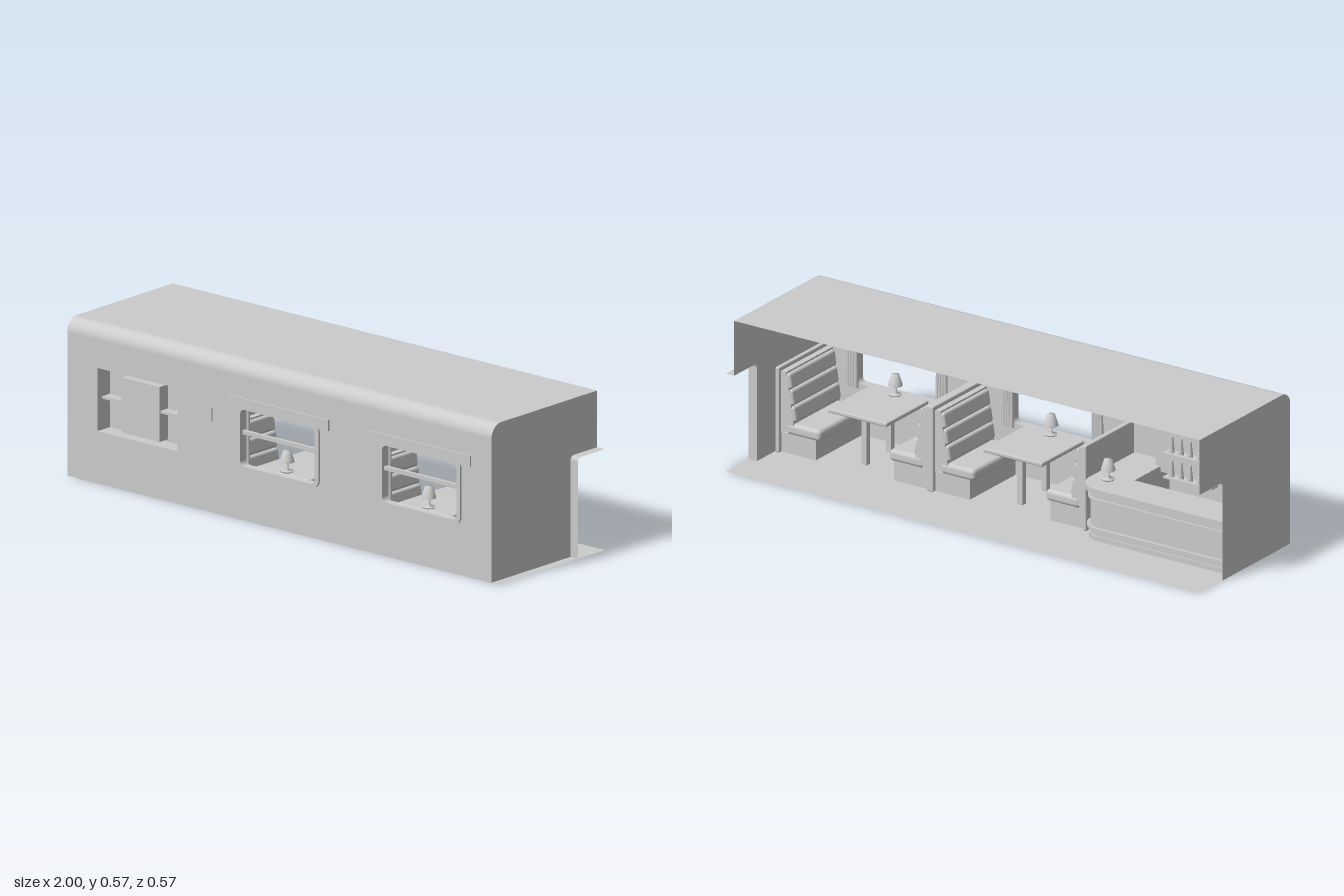
import * as THREE from 'three';
import { RoundedBoxGeometry } from 'three/addons/geometries/RoundedBoxGeometry.js';

const mat = new THREE.MeshStandardMaterial({ color: 0xcccccc, side: THREE.DoubleSide });

function add(parent, name, geo, x = 0, y = 0, z = 0) {
  const m = new THREE.Mesh(geo, mat);
  m.name = name;
  m.position.set(x, y, z);
  parent.add(m);
  return m;
}
// Box given by its min and max on each axis
function box(parent, name, x0, x1, y0, y1, z0, z1, r = 0) {
  const s = [x1 - x0, y1 - y0, z1 - z0];
  const g = r ? new RoundedBoxGeometry(...s, 3, r) : new THREE.BoxGeometry(...s);
  return add(parent, name, g, (x0 + x1) / 2, (y0 + y1) / 2, (z0 + z1) / 2);
}
function roundRect(C, x0, x1, y0, y1, r) {
  const p = new C();
  p.moveTo(x0 + r, y0);
  p.lineTo(x1 - r, y0); p.absarc(x1 - r, y0 + r, r, -Math.PI / 2, 0);
  p.lineTo(x1, y1 - r); p.absarc(x1 - r, y1 - r, r, 0, Math.PI / 2);
  p.lineTo(x0 + r, y1); p.absarc(x0 + r, y1 - r, r, Math.PI / 2, Math.PI);
  p.lineTo(x0, y0 + r); p.absarc(x0 + r, y0 + r, r, Math.PI, Math.PI * 1.5);
  return p;
}
const extrude = (shape, depth) =>
  new THREE.ExtrudeGeometry(shape, { depth, bevelEnabled: false, curveSegments: 8 });
// Open sheet: a path of [z, y, nz, ny] points swept along x, with smooth normals
function sheet(path, x0, x1) {
  const pos = [], nor = [], idx = [];
  path.forEach(([z, y, nz, ny], i) => {
    pos.push(x0, y, z, x1, y, z);
    nor.push(0, ny, nz, 0, ny, nz);
    if (i) { const a = 2 * i - 2; idx.push(a, a + 1, a + 3, a, a + 3, a + 2); }
  });
  const g = new THREE.BufferGeometry();
  g.setAttribute('position', new THREE.Float32BufferAttribute(pos, 3));
  g.setAttribute('normal', new THREE.Float32BufferAttribute(nor, 3));
  g.setIndex(idx);
  return g;
}

const X0 = -1, X1 = 0.965, TOP = 0.574, FRONT = 0.275, BACK = -0.283, R = 0.05;
const WINDOWS = [-0.02, 0.637];

function buildShell(car) {
  // Front wall with a service opening and two windows
  const wall = new THREE.Shape([[X0, 0], [X1, 0], [X1, TOP - R], [X0, TOP - R]].map(p => new THREE.Vector2(...p)));
  wall.holes.push(roundRect(THREE.Path, -0.86, -0.49, 0.19, 0.42, 0.004));
  for (const c of WINDOWS) wall.holes.push(roundRect(THREE.Path, c - 0.18, c + 0.18, 0.195, 0.413, 0.025));
  add(car, 'frontWall', extrude(wall, 0.01), 0, 0, FRONT - 0.01);

  // Roof with a rounded front edge
  const roof = [];
  for (let i = 0; i <= 10; i++) {
    const a = i / 10 * Math.PI / 2, c = Math.cos(a), s = Math.sin(a);
    roof.push([FRONT - R + R * c, TOP - R + R * s, c, s]);
  }
  roof.push([BACK, TOP, 0, 1]);
  add(car, 'roof', sheet(roof, X0, X1));

  // Floor
  add(car, 'floor', sheet([[FRONT, 0.001, 0, 1], [BACK, 0.001, 0, 1]], X0, 1));

  // End walls, cut away for the aisle
  const end = new THREE.Shape();
  end.moveTo(-0.143, 0);
  end.lineTo(FRONT, 0);
  end.lineTo(FRONT, TOP - R);
  end.absarc(FRONT - R, TOP - R, R, 0, Math.PI / 2);
  end.lineTo(BACK, TOP);
  end.lineTo(BACK, 0.368);
  end.lineTo(-0.158, 0.368);
  end.absarc(-0.158, 0.353, 0.015, Math.PI / 2, 0, true);
  end.lineTo(-0.143, 0);
  for (const x of [X0, X1]) add(car, 'endWall', new THREE.ShapeGeometry(end, 10).rotateY(-Math.PI / 2), x);

  // Doorway lining at the aisle
  const lining = [[BACK, 0.368, 0, -1]];
  for (let i = 0; i <= 6; i++) {
    const a = Math.PI / 2 * (1 - i / 6), c = Math.cos(a), s = Math.sin(a);
    lining.push([-0.158 + 0.015 * c, 0.353 + 0.015 * s, -c, -s]);
  }
  lining.push([-0.143, 0, -1, 0]);
  add(car, 'doorLining', sheet(lining, X1, 1));
  box(car, 'gripRail', -0.332, -0.328, 0.33, 0.38, FRONT, FRONT + 0.004);
}

function buildWindow(car, c) {
  const g = new THREE.Group();
  g.name = 'window';
  g.position.x = c;
  car.add(g);
  const frame = roundRect(THREE.Shape, -0.19, 0.19, 0.185, 0.42, 0.03);
  frame.holes.push(roundRect(THREE.Path, -0.172, 0.172, 0.198, 0.405, 0.02));
  add(g, 'windowFrame', extrude(frame, 0.033), 0, 0, 0.25);
  box(g, 'windowCrossbar', -0.175, 0.175, 0.311, 0.325, 0.258, 0.272);
  box(g, 'windowHeader', -0.234, 0.234, 0.405, 0.445, FRONT - 0.005, 0.282);
  // Curtains hanging inside
  for (const s of [-1, 1])
    for (let i = 0; i < 4; i++)
      add(g, 'curtainPleat', new THREE.CylinderGeometry(0.006, 0.008, 0.23, 8), s * (0.172 + i * 0.011), 0.3, 0.242);
  // Luggage rack
  for (let i = 0; i < 5; i++) box(g, 'rackRail', -0.22, 0.22, 0.428, 0.433, 0.155 + i * 0.025, 0.16 + i * 0.025);
  for (let i = 0; i < 4; i++) {
    const x = -0.21 + i * 0.14;
    box(g, 'rackBracket', x - 0.004, x + 0.004, 0.42, 0.428, 0.152, 0.265);
  }
  box(g, 'rackLip', -0.22, 0.22, 0.445, 0.45, 0.15, 0.155);
}

function buildLamp(car, x, y, z) {
  const profile = [[0, 0], [0.022, 0], [0.022, 0.005], [0.006, 0.009], [0.004, 0.04], [0, 0.04]];
  const shade = [[0.026, 0.036], [0.025, 0.042], [0.014, 0.077], [0, 0.077]];
  const lathe = p => new THREE.LatheGeometry(p.map(q => new THREE.Vector2(...q)), 16);
  add(car, 'lampBase', lathe(profile), x, y, z);
  add(car, 'lampShade', lathe(shade), x, y, z);
}

function buildTable(car, c) {
  box(car, 'tableTop', c - 0.125, c + 0.125, 0.184, 0.2, -0.005, 0.262, 0.005);
  for (const z of [0.05, 0.2]) box(car, 'tableLeg', c - 0.011, c + 0.011, 0, 0.186, z - 0.011, z + 0.011);
  buildLamp(car, c, 0.2, 0.232);
}

// Bench whose back is at x, facing in direction d
function buildBench(car, x, d) {
  const g = new THREE.Group();
  g.name = 'bench';
  g.position.set(x, 0, 0);
  if (d < 0) { g.rotation.y = Math.PI; g.position.z = 0.24; }
  car.add(g);
  box(g, 'benchBase', 0, 0.145, 0, 0.075, -0.02, 0.26);
  box(g, 'seatCushion', 0.02, 0.165, 0.072, 0.115, -0.025, 0.265, 0.015);
  const back = new THREE.Shape([[0, 0.07], [0.055, 0.1], [0.022, 0.305], [0, 0.305]].map(p => new THREE.Vector2(...p)));
  add(g, 'benchBack', extrude(back, 0.285), 0, 0, -0.0225);
  // Padded rolls across the backrest
  for (let i = 0; i < 3; i++) {
    const m = box(g, 'backCushion', -0.012, 0.012, -0.029, 0.029, -0.022, 0.262, 0.01);
    m.position.x = 0.047 - i * 0.0095;
    m.position.y = 0.15 + i * 0.06;
    m.rotation.z = 0.16;
  }
}

// Footprint of the corner counter, grown by e: y of the shape becomes -z
function counterShape(e) {
  const s = new THREE.Shape(), x = -0.37 + e, y = 0.085 + e, r = 0.07 + e, w = 0.13 + e;
  s.moveTo(X0, y);
  s.lineTo(x - r, y);
  s.absarc(x - r, y - r, r, Math.PI / 2, 0, true);
  s.lineTo(x, -0.262);
  s.lineTo(x - w, -0.262);
  s.lineTo(x - w, y - w);
  s.lineTo(X0, y - w);
  return s;
}

function buildBar(car) {
  const layers = [['counterPlinth', 0.005, 0, 0.02], ['counterBody', 0, 0.02, 0.182],
    ['footRail', 0.012, 0.04, 0.05], ['counterBand', 0.008, 0.15, 0.158], ['counterTop', 0.018, 0.182, 0.2]];
  for (const [name, e, y0, y1] of layers)
    add(car, name, extrude(counterShape(e), y1 - y0).rotateX(-Math.PI / 2), 0, y0, 0);
  buildLamp(car, -0.42, 0.2, 0);

  // Cabinet recess behind the service opening
  box(car, 'recessBack', -0.87, -0.48, 0.18, 0.43, 0.205, 0.21);
  for (const x of [-0.87, -0.49]) box(car, 'recessSide', x, x + 0.01, 0.18, 0.43, 0.205, 0.266);
  for (const y of [0.18, 0.42]) box(car, 'recessShelf', -0.87, -0.48, y, y + 0.01, 0.205, 0.266);
  box(car, 'recessCrossbar', -0.86, -0.49, 0.303, 0.312, 0.21, 0.25);
  box(car, 'cabinetPanel', -0.765, -0.59, 0.2, 0.4, 0.15, 0.256);
  // Bottles on shelves at the inner side of the cabinet
  for (const y of [0.21, 0.3]) {
    box(car, 'bottleShelf', -0.78, -0.575, y - 0.006, y, 0.11, 0.15);
    for (let i = 0; i < 5; i++)
      add(car, 'bottle', new THREE.CylinderGeometry(0.005, 0.011, 0.06, 10), -0.755 + i * 0.039, y + 0.03, 0.13);
  }
}

export function createModel() {
  const car = new THREE.Group();
  car.name = 'diningCar';
  buildShell(car);
  for (const c of WINDOWS) {
    buildWindow(car, c);
    buildTable(car, c);
  }
  for (const [x, d] of [[0.945, -1], [0.325, 1], [0.295, -1], [-0.335, 1]]) buildBench(car, x, d);
  // Panels between the booths
  box(car, 'boothDivider', 0.295, 0.325, 0, 0.32, -0.035, 0.265, 0.005);
  box(car, 'boothDivider', -0.35, -0.335, 0, 0.32, -0.035, 0.265, 0.005);
  box(car, 'boothDivider', 0.945, 0.962, 0, 0.32, -0.035, 0.265, 0.005);
  buildBar(car);
  return car;
}
